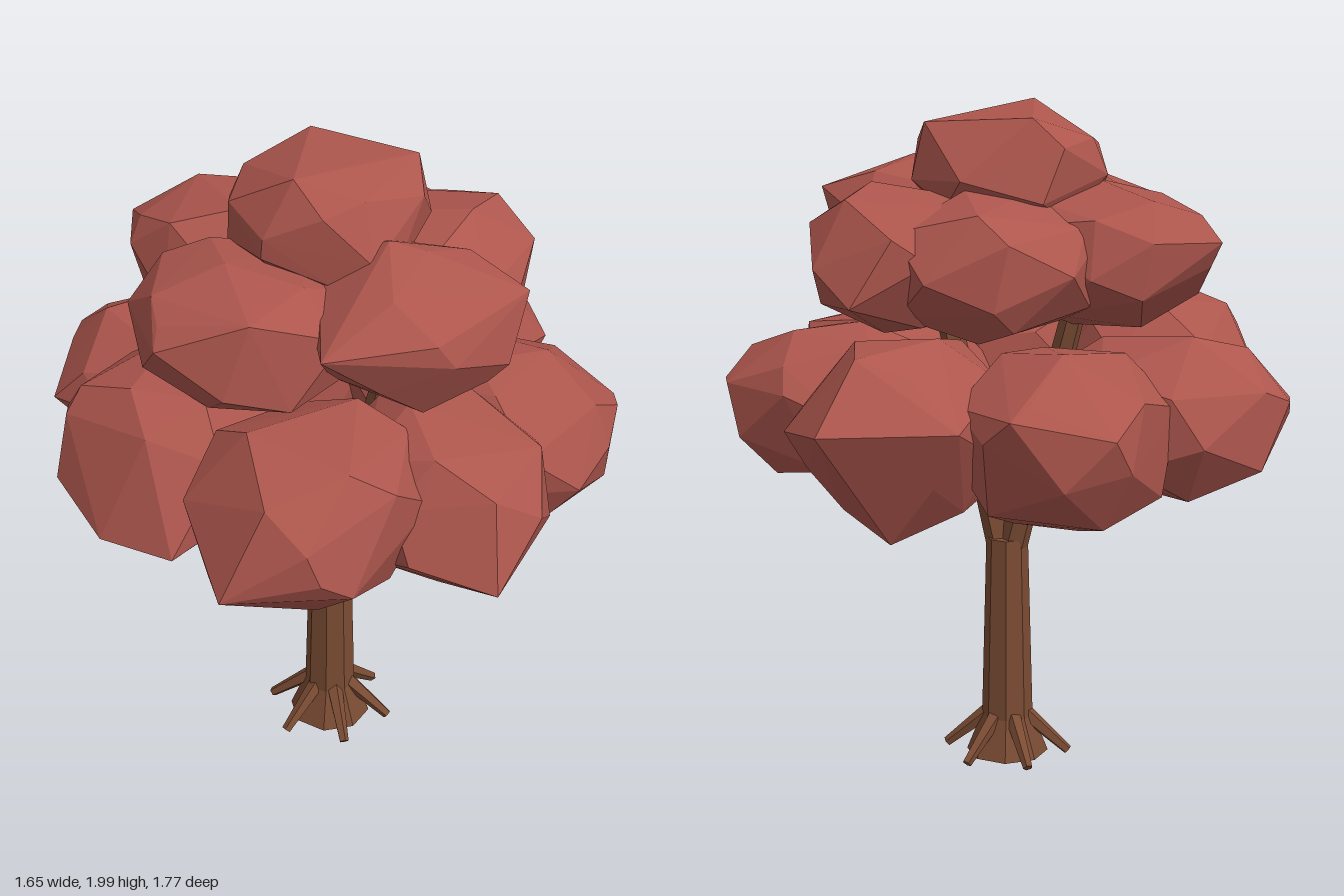
import * as THREE from 'three';
import { ConvexGeometry } from 'three/addons/geometries/ConvexGeometry.js';

const bark = new THREE.MeshStandardMaterial({ color: 0x7a4b33 });
bark.name = 'brown bark';
const leaf = new THREE.MeshStandardMaterial({ color: 0xad564d });
leaf.name = 'red foliage';

// Repeatable random numbers
function seeded(seed) {
  let s = seed * 7919 + 17;
  return () => {
    s = (s * 16807) % 2147483647;
    return s / 2147483647;
  };
}

// Separate the faces so each has its own flat normal
function faceted(geometry) {
  const g = geometry.index ? geometry.toNonIndexed() : geometry;
  g.computeVertexNormals();
  return g;
}

function addMesh(parent, name, geometry, material) {
  const mesh = new THREE.Mesh(faceted(geometry), material);
  mesh.name = name;
  parent.add(mesh);
  return mesh;
}

// Tapered limb running from point a to point b
function addLimb(parent, name, a, b, r0, r1, sides) {
  const from = new THREE.Vector3(...a), to = new THREE.Vector3(...b);
  const dir = to.clone().sub(from);
  const limb = addMesh(parent, name, new THREE.CylinderGeometry(r1, r0, dir.length(), sides), bark);
  limb.position.copy(from).add(to).multiplyScalar(0.5);
  limb.quaternion.setFromUnitVectors(new THREE.Vector3(0, 1, 0), dir.normalize());
}

// Chunky faceted clump filling the box lo..hi, with extra corner points
function clumpGeometry(seed, lo, hi, corners) {
  const rand = seeded(seed);
  for (let i = 0; i < 5; i++) rand();
  const count = 24, turn = rand() * 6.28;
  const boxy = (c) => Math.sign(c) * Math.pow(Math.abs(c), 0.92);
  const points = [];
  for (let i = 0; i < count; i++) {
    // Even spiral over a sphere, shaken and slightly squared
    const y = 1 - (2 * (i + 0.5)) / count, r = Math.sqrt(1 - y * y);
    const v = new THREE.Vector3(Math.cos(i * 2.4 + turn) * r, y, Math.sin(i * 2.4 + turn) * r);
    v.x += (rand() - 0.5) * 0.35;
    v.y += (rand() - 0.5) * 0.35;
    v.z += (rand() - 0.5) * 0.35;
    v.normalize();
    points.push(v.set(boxy(v.x), boxy(v.y), boxy(v.z)));
  }
  const box = new THREE.Box3().setFromPoints(points);
  const span = box.getSize(new THREE.Vector3());
  const low = new THREE.Vector3(...lo), size = new THREE.Vector3(...hi).sub(low);
  points.forEach((v) => v.sub(box.min).divide(span).multiply(size).add(low));
  corners.forEach((c) => points.push(new THREE.Vector3(...c)));
  return new ConvexGeometry(points);
}

export function createModel() {
  const tree = new THREE.Group();
  tree.name = 'tree';
  const cx = 0.04, cz = 0.02;

  // Trunk with flared foot
  const wood = new THREE.Group();
  wood.name = 'wood';
  tree.add(wood);
  const profile = [[0, 0.01], [0.125, 0.01], [0.078, 0.13], [0.063, 0.7], [0, 0.7]]
    .map(([r, y]) => new THREE.Vector2(r, y));
  const trunk = addMesh(wood, 'trunk', new THREE.LatheGeometry(profile, 8, Math.PI / 8), bark);
  trunk.position.set(cx, 0, cz);

  // Roots
  for (let i = 0; i < 6; i++) {
    const t = (i / 6) * Math.PI * 2 - 0.26;
    const c = Math.cos(t), s = Math.sin(t);
    addLimb(wood, 'root', [cx + c * 0.055, 0.135, cz + s * 0.055],
      [cx + c * 0.19, 0.02, cz + s * 0.19], 0.026, 0.015, 5);
  }

  // Forked branches
  addLimb(wood, 'leftBranch', [cx + 0.015, 0.66, cz], [0.27, 1.5, cz], 0.046, 0.034, 6);
  addLimb(wood, 'rightBranch', [cx - 0.015, 0.66, cz], [-0.2, 1.5, cz], 0.046, 0.034, 6);

  // Foliage: lower corner, upper corner, then any outstanding points
  const tiers = {
    lowerClump: [
      [[-0.8, 0.87, -0.23], [-0.12, 1.37, 0.36], [-0.83, 1.2, 0.06], [-0.74, 1.1, 0.33]],
      [[-0.59, 0.86, -0.66], [0.0, 1.39, -0.04], [-0.57, 1.2, -0.58], [-0.31, 1.25, -0.69]],
      [[-0.16, 0.87, -0.74], [0.41, 1.4, -0.12], [0.17, 1.2, -0.885], [0.39, 1.15, -0.68],
        [-0.16, 1.2, -0.69], [0.08, 0.85, -0.64], [0.15, 1.38, -0.7]],
      [[0.14, 0.89, -0.48], [0.8, 1.36, 0.06], [0.74, 1.2, -0.42], [0.82, 1.15, -0.23],
        [0.5, 1.2, -0.5]],
      [[0.16, 0.87, -0.12], [0.82, 1.38, 0.42], [0.79, 1.0, 0.38], [0.55, 1.05, 0.45]],
      [[-0.06, 0.9, 0.14], [0.55, 1.43, 0.8], [0.22, 1.08, 0.885], [0.46, 1.15, 0.76]],
      [[-0.58, 0.87, 0.12], [0.04, 1.42, 0.7], [-0.63, 1.15, 0.4], [-0.27, 1.02, 0.75],
        [-0.04, 1.02, 0.73], [-0.48, 1.1, 0.66]],
    ],
    middleClump: [
      [[-0.38, 1.36, 0.03], [0.28, 1.78, 0.58], [-0.15, 1.6, 0.62], [-0.39, 1.55, 0.3]],
      [[-0.58, 1.38, -0.23], [0.02, 1.79, 0.3], [-0.62, 1.64, 0.05]],
      [[0.1, 1.38, -0.13], [0.6, 1.83, 0.36], [0.65, 1.73, 0.0], [0.65, 1.55, 0.1],
        [0.3, 1.65, 0.5], [0.3, 1.85, 0.15]],
      [[-0.02, 1.37, -0.5], [0.53, 1.79, 0.06], [0.25, 1.48, -0.55]],
      [[-0.33, 1.37, -0.52], [0.3, 1.78, 0.06]],
    ],
    crownClump: [
      [[-0.25, 1.64, -0.23], [0.3, 1.98, 0.31], [0.05, 2.0, 0.23], [-0.1, 1.98, -0.1],
        [0.22, 1.96, -0.15], [0.0, 1.84, 0.31]],
    ],
  };
  const foliage = new THREE.Group();
  foliage.name = 'foliage';
  tree.add(foliage);
  let seed = 1;
  for (const [name, clumps] of Object.entries(tiers)) {
    for (const [lo, hi, ...corners] of clumps) {
      addMesh(foliage, name, clumpGeometry(seed++, lo, hi, corners), leaf);
    }
  }
  return tree;
}
